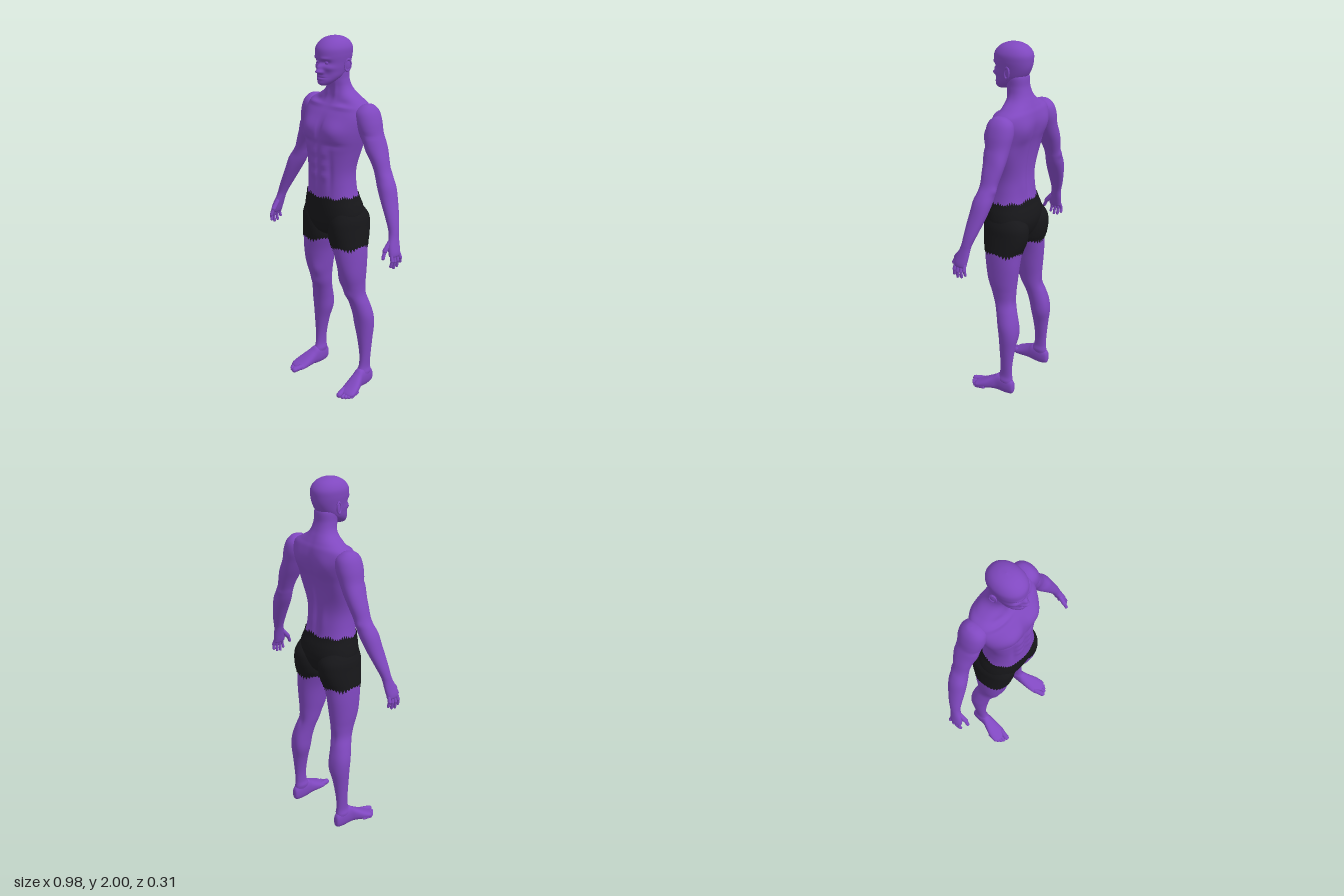
import * as THREE from 'three';

const skin = new THREE.MeshStandardMaterial({ color: 0x8048c0 });
const cloth = new THREE.MeshStandardMaterial({ color: 0x17171a, side: THREE.DoubleSide });

// Cross-sections are [height, x0, x1, z0, z1]; the feet run along z as [z, x0, x1, y0, y1].
const sym = rows => rows.map(([y, w, z0, z1]) => [y, -w, w, z0, z1]);

const TORSO = sym([
  [0.925, 0, -0.02, -0.02], [0.93, 0.05, -0.07, 0.05], [0.95, 0.09, -0.1, 0.085], [1.0, 0.15, -0.125, 0.108],
  [1.05, 0.172, -0.135, 0.115], [1.1, 0.165, -0.127, 0.117], [1.15, 0.149, -0.11, 0.117], [1.22, 0.139, -0.1, 0.116],
  [1.3, 0.139, -0.097, 0.115], [1.4, 0.16, -0.108, 0.113], [1.48, 0.183, -0.122, 0.112], [1.54, 0.197, -0.137, 0.103],
  [1.6, 0.205, -0.146, 0.075], [1.65, 0.188, -0.14, 0.04], [1.68, 0.138, -0.128, 0.022], [1.71, 0.09, -0.114, 0.016],
  [1.74, 0.068, -0.1, 0.016], [1.78, 0.06, -0.088, 0.024], [1.84, 0.055, -0.08, 0.03], [1.845, 0, -0.03, -0.03]]);

const HEAD = sym([
  [1.752, 0, 0.065, 0.065], [1.757, 0.024, 0.035, 0.088], [1.775, 0.045, 0.0, 0.096], [1.8, 0.061, -0.045, 0.096],
  [1.83, 0.069, -0.08, 0.098], [1.87, 0.076, -0.102, 0.1], [1.91, 0.082, -0.11, 0.103], [1.945, 0.081, -0.108, 0.097],
  [1.975, 0.064, -0.086, 0.071], [1.993, 0.036, -0.05, 0.035], [2.0, 0, -0.008, -0.008]]);

const ARM = [
  [1.667, 0.2, 0.2, -0.06, -0.06], [1.66, 0.17, 0.225, -0.09, -0.02], [1.63, 0.14, 0.25, -0.12, 0.012],
  [1.58, 0.14, 0.268, -0.129, 0.02], [1.52, 0.165, 0.28, -0.124, 0.012], [1.46, 0.195, 0.3, -0.12, 0.0],
  [1.4, 0.23, 0.325, -0.113, -0.006], [1.34, 0.26, 0.346, -0.103, -0.012], [1.3, 0.275, 0.37, -0.1, -0.01],
  [1.25, 0.298, 0.397, -0.097, 0], [1.18, 0.34, 0.42, -0.083, 0.01], [1.1, 0.385, 0.447, -0.058, 0.015],
  [1.05, 0.41, 0.46, -0.04, 0.018], [1.02, 0.421, 0.466, -0.033, 0.026], [0.98, 0.433, 0.476, -0.03, 0.043],
  [0.945, 0.443, 0.485, -0.025, 0.05], [0.925, 0.452, 0.484, -0.02, 0.047], [0.918, 0.47, 0.47, 0.015, 0.015]];

const LEG = [
  [1.12, 0.1, 0.1, -0.01, -0.01], [1.1, 0.06, 0.15, -0.08, 0.07], [1.04, 0.02, 0.18, -0.138, 0.1],
  [0.98, 0.012, 0.188, -0.146, 0.104], [0.92, 0.014, 0.195, -0.134, 0.098], [0.88, 0.023, 0.199, -0.12, 0.092],
  [0.8, 0.048, 0.2, -0.114, 0.079], [0.7, 0.065, 0.195, -0.105, 0.058], [0.64, 0.075, 0.19, -0.1, 0.042],
  [0.58, 0.083, 0.19, -0.1, 0.022], [0.52, 0.095, 0.207, -0.114, 0], [0.45, 0.105, 0.223, -0.13, -0.017],
  [0.38, 0.113, 0.224, -0.135, -0.027], [0.3, 0.135, 0.218, -0.124, -0.034], [0.2, 0.155, 0.21, -0.113, -0.04],
  [0.13, 0.159, 0.206, -0.11, -0.035], [0.08, 0.157, 0.209, -0.114, -0.015], [0.04, 0.157, 0.21, -0.118, -0.01],
  [0.02, 0.17, 0.2, -0.1, -0.03], [0.018, 0.185, 0.185, -0.06, -0.06]];

const FOOT = [
  [-0.127, 0.185, 0.185, 0.045, 0.045], [-0.12, 0.166, 0.204, 0.01, 0.085], [-0.08, 0.156, 0.213, 0, 0.11],
  [-0.03, 0.153, 0.218, 0.002, 0.114], [0, 0.153, 0.23, 0.006, 0.094], [0.04, 0.154, 0.248, 0.003, 0.069],
  [0.08, 0.158, 0.257, 0, 0.046], [0.1, 0.163, 0.254, 0.001, 0.036], [0.115, 0.175, 0.235, 0.005, 0.026],
  [0.12, 0.2, 0.2, 0.015, 0.015]];

// Muscle and face relief: [x, y, z, radius x, radius y, push along the normal].
const TORSO_RELIEF = [
  [0.085, 1.52, 0.1, 0.065, 0.055, 0.017], [0.08, 1.452, 0.1, 0.065, 0.014, -0.007], [0, 1.52, 0.11, 0.012, 0.06, -0.009],
  [0, 1.3, 0.115, 0.009, 0.13, -0.006], [0.078, 1.3, 0.09, 0.014, 0.11, -0.007],
  [0.036, 1.4, 0.11, 0.026, 0.022, 0.007], [0.036, 1.34, 0.115, 0.026, 0.022, 0.007], [0.036, 1.28, 0.115, 0.026, 0.022, 0.007],
  [0, 1.38, -0.12, 0.018, 0.2, -0.014], [0.095, 1.57, -0.13, 0.055, 0.065, 0.013], [0.045, 1.25, -0.1, 0.025, 0.08, 0.006],
  [0.14, 1.43, -0.07, 0.04, 0.08, 0.007], [0.1, 1.642, 0.04, 0.07, 0.009, 0.007], [0.1, 1.665, 0.02, 0.04, 0.012, -0.006],
  [0.028, 1.72, 0.02, 0.012, 0.05, 0.006]];
const HEAD_RELIEF = [
  [0, 1.828, 0.1, 0.015, 0.011, 0.026], [0, 1.85, 0.1, 0.012, 0.015, 0.017], [0.016, 1.824, 0.1, 0.008, 0.008, 0.006],
  [0.031, 1.872, 0.09, 0.02, 0.013, -0.014], [0.03, 1.894, 0.09, 0.022, 0.008, 0.005], [0.05, 1.846, 0.07, 0.018, 0.014, 0.004],
  [0, 1.795, 0.1, 0.022, 0.014, 0.009], [0, 1.796, 0.1, 0.024, 0.004, -0.007], [0, 1.768, 0.095, 0.02, 0.011, 0.007],
  [0.04, 1.815, 0.08, 0.015, 0.02, -0.004]];
const ARM_RELIEF = [
  [0.25, 1.45, 0, 0.03, 0.05, 0.008], [0.29, 1.46, -0.12, 0.03, 0.06, 0.006], [0.255, 1.515, 0.01, 0.04, 0.012, -0.004],
  [0.37, 1.27, 0, 0.03, 0.05, 0.005], [0.32, 1.315, -0.1, 0.02, 0.02, 0.006]];
const LEG_RELIEF = [
  [0.135, 0.59, 0.02, 0.025, 0.028, 0.009], [0.1, 0.675, 0.04, 0.025, 0.045, 0.008], [0.175, 0.72, 0.03, 0.03, 0.07, 0.006],
  [0.135, 0.78, 0.07, 0.03, 0.1, 0.006], [0.135, 0.42, -0.13, 0.025, 0.07, 0.006], [0.14, 0.57, -0.1, 0.02, 0.04, -0.006],
  [0.16, 0.1, -0.07, 0.02, 0.015, 0.006], [0.208, 0.088, -0.08, 0.02, 0.015, 0.006]];

const spline = (p0, p1, p2, p3, t) =>
  0.5 * (2 * p1 + (p2 - p0) * t + (2 * p0 - 5 * p1 + 4 * p2 - p3) * t * t + (3 * p1 - p0 - 3 * p2 + p3) * t ** 3);

// Smooth section at fractional index u
function sectionAt(rows, u) {
  const n = rows.length - 1, i = Math.max(0, Math.min(n - 1, Math.floor(u)));
  const r = k => rows[Math.max(0, Math.min(n, k))];
  return r(i).map((_, k) => spline(r(i - 1)[k], r(i)[k], r(i + 1)[k], r(i + 2)[k], u - i));
}

// Skin stretched over the sections; jag gives the first and last edge a ragged outline
function loft(rows, { u0 = 0, u1 = rows.length - 1, seg = 48, steps = 90, power = 2.15, grow = 0, jag = [0, 0], alongZ = false, relief = [] } = {}) {
  const pos = [], index = [];
  const flip = (rows[0][0] > rows[1][0]) !== alongZ;
  const tooth = (j, k) => (j % 2 ? 1 : -0.4) * (0.55 + 0.45 * Math.sin(j * 2.7 + k * 1.9));
  const round = v => Math.sign(v) * Math.abs(v) ** (2 / power);
  for (let i = 0; i <= steps; i++) for (let j = 0; j < seg; j++) {
    const a = j / seg * Math.PI * 2;
    const u = THREE.MathUtils.lerp(u0 + jag[0] * tooth(j, 0), u1 + jag[1] * tooth(j, 1), i / steps);
    const [h, a0, a1, b0, b1] = sectionAt(rows, u);
    const x = (a0 + a1) / 2 + (Math.max(0, a1 - a0) / 2 + grow) * round(Math.cos(a));
    const d = (b0 + b1) / 2 + (Math.max(0, b1 - b0) / 2 + grow) * round(Math.sin(a));
    pos.push(x, alongZ ? d : h, alongZ ? h : d);
    if (i === steps) continue;
    const p = i * seg + j, q = i * seg + (j + 1) % seg, up = p + seg, uq = q + seg;
    index.push(...(flip ? [p, q, up, q, uq, up] : [p, up, q, q, up, uq]));
  }
  const geo = new THREE.BufferGeometry();
  geo.setAttribute('position', new THREE.Float32BufferAttribute(pos, 3));
  geo.setIndex(index);
  geo.computeVertexNormals();
  const P = geo.attributes.position, N = geo.attributes.normal;
  for (let i = 0; i < P.count; i++) {
    const x = P.getX(i), y = P.getY(i), z = P.getZ(i);
    let push = 0;
    for (const [cx, cy, cz, rx, ry, amp] of relief)
      push += amp * Math.exp(-(((Math.abs(x) - cx) / rx) ** 2) - ((y - cy) / ry) ** 2 - ((z - cz) / 0.06) ** 2);
    P.setXYZ(i, x + N.getX(i) * push, y + N.getY(i) * push, z + N.getZ(i) * push);
  }
  geo.computeVertexNormals();
  return geo;
}

// Rounded rod between two points, for finger and toe joints
function rod(a, b, r) {
  const A = new THREE.Vector3(...a), B = new THREE.Vector3(...b), d = B.clone().sub(A);
  const geo = new THREE.CapsuleGeometry(r, d.length(), 6, 12);
  geo.applyQuaternion(new THREE.Quaternion().setFromUnitVectors(new THREE.Vector3(0, 1, 0), d.clone().normalize()));
  return geo.translate(...A.add(B).multiplyScalar(0.5).toArray());
}

function mirrored(geo) {
  const g = geo.clone().scale(-1, 1, 1), ix = g.index.array;
  for (let i = 0; i < ix.length; i += 3) [ix[i], ix[i + 1]] = [ix[i + 1], ix[i]];
  g.computeVertexNormals();
  return g;
}

export function createModel() {
  const model = new THREE.Group();
  const add = (name, geo, mat = skin) => {
    const mesh = new THREE.Mesh(geo, mat);
    mesh.name = name;
    model.add(mesh);
  };
  const pair = (name, geo, mat) => {
    add('left' + name, geo, mat);
    add('right' + name, mirrored(geo), mat);
  };

  // Trunk and head
  add('torso', loft(TORSO, { seg: 96, steps: 130, power: 2.3, relief: TORSO_RELIEF }));
  add('head', loft(HEAD, { seg: 96, steps: 100, relief: HEAD_RELIEF }));
  pair('Eye', new THREE.SphereGeometry(0.0115, 16, 12).translate(0.031, 1.872, 0.075));
  const tilt = g => g.rotateX(-0.15).rotateY(-0.35).translate(0.083, 1.856, -0.02);
  pair('Ear', tilt(new THREE.SphereGeometry(1, 20, 14).scale(0.007, 0.031, 0.018)));
  pair('EarRim', tilt(new THREE.TorusGeometry(0.017, 0.004, 8, 28).rotateY(Math.PI / 2).scale(1, 1.7, 1).translate(0.005, 0, 0)));

  // Limbs
  pair('Arm', loft(ARM, { relief: ARM_RELIEF }));
  pair('Leg', loft(LEG, { relief: LEG_RELIEF }));
  pair('Foot', loft(FOOT, { alongZ: true, steps: 50, power: 2.3 }));

  // Fingers: base z, tip z, tip height
  [[-0.016, -0.022, 0.885], [0.003, 0.002, 0.868], [0.022, 0.026, 0.864], [0.04, 0.048, 0.876]].forEach(([z0, z1, y], i) => {
    const knuckle = [0.47, 0.935, z0], mid = [0.479, (0.935 + y) / 2, (z0 + z1) / 2];
    pair('FingerBase' + (i + 1), rod(knuckle, mid, 0.0095));
    pair('FingerTip' + (i + 1), rod(mid, [0.474, y, z1], 0.008));
  });
  pair('ThumbBase', rod([0.443, 0.995, 0.025], [0.44, 0.955, 0.058], 0.013));
  pair('ThumbTip', rod([0.44, 0.955, 0.058], [0.443, 0.92, 0.074], 0.0095));

  // Toes: base x, tip x, tip z, radius
  [[0.178, 0.19, 0.139, 0.016], [0.205, 0.213, 0.135, 0.011], [0.22, 0.227, 0.124, 0.0105], [0.233, 0.239, 0.111, 0.01],
    [0.243, 0.247, 0.096, 0.0095]].forEach(([x0, x1, z, r], i) =>
    pair('Toe' + (i + 1), rod([x0, r + 0.008, z - 0.05], [x1, r, z], r)));

  // Shorts with ragged waist and hems
  add('shortsSeat', loft(TORSO, { u1: 6.15, seg: 120, steps: 40, power: 2.3, grow: 0.005, jag: [0, 0.28] }), cloth);
  pair('ShortsLeg', loft(LEG, { u1: 4.95, seg: 72, steps: 40, grow: 0.005, jag: [0, 0.35] }), cloth);
  return model;
}
